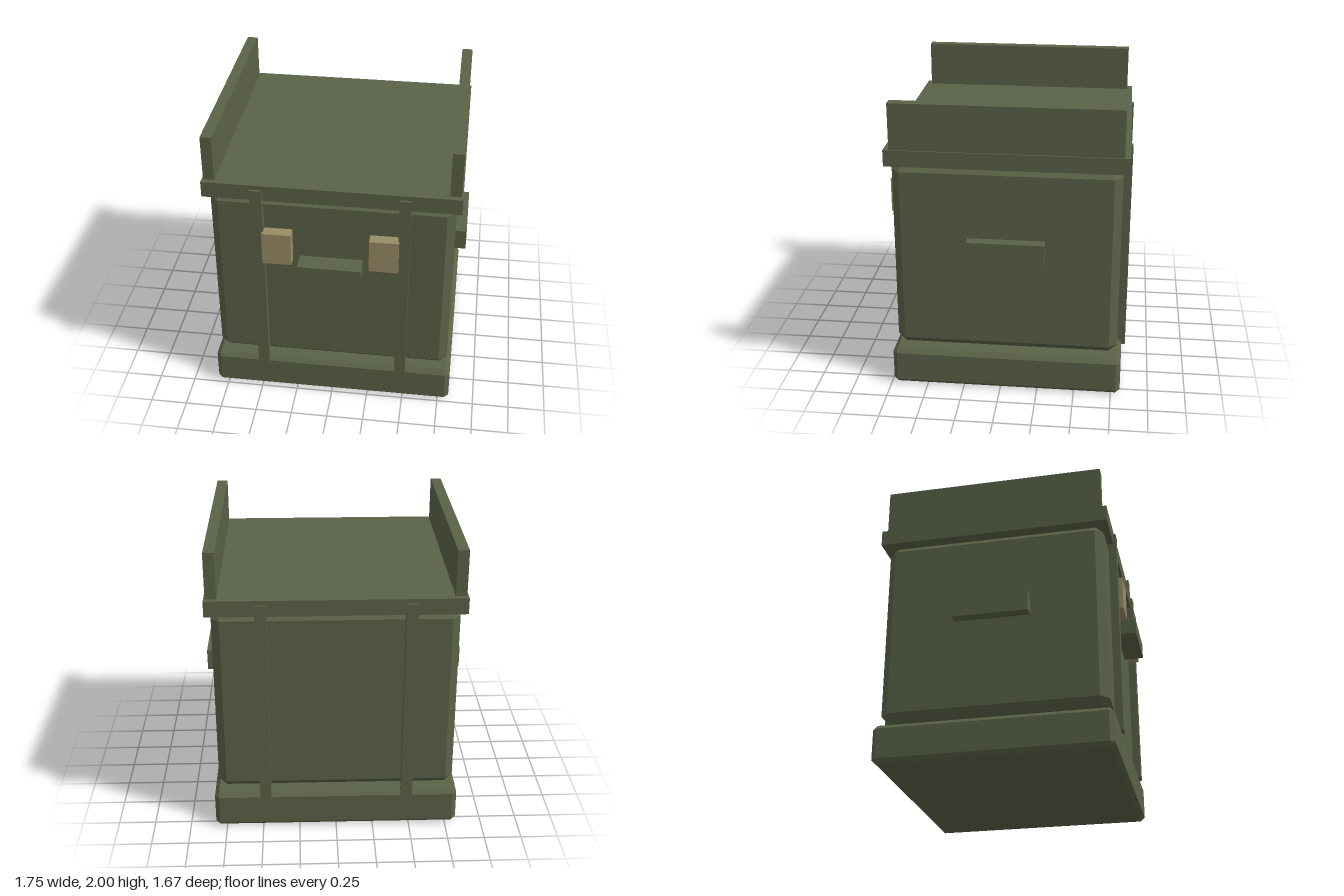
import * as THREE from 'three';
import { ConvexGeometry } from 'three/addons/geometries/ConvexGeometry.js';

// Box with every edge cut by c, centred on the origin
function chamferBox(w, h, d, c) {
  const points = [];
  for (const sx of [-1, 1]) for (const sy of [-1, 1]) for (const sz of [-1, 1]) {
    const x = sx * w / 2, y = sy * h / 2, z = sz * d / 2;
    points.push(
      new THREE.Vector3(x, y - sy * c, z - sz * c),
      new THREE.Vector3(x - sx * c, y, z - sz * c),
      new THREE.Vector3(x - sx * c, y - sy * c, z));
  }
  return new ConvexGeometry(points);
}

export function createModel() {
  const group = new THREE.Group();
  const olive = new THREE.MeshStandardMaterial({ color: 0x5a6247 });
  olive.name = 'olive';
  const tan = new THREE.MeshStandardMaterial({ color: 0x988b65 });
  tan.name = 'tan';

  function add(name, geometry, material, x, y, z) {
    const mesh = new THREE.Mesh(geometry, material);
    mesh.name = name;
    mesh.position.set(x, y, z);
    group.add(mesh);
  }

  // Box given by its limits on each axis; c cuts the edges
  function block(name, material, [x0, x1], [y0, y1], [z0, z1], c = 0) {
    const w = x1 - x0, h = y1 - y0, d = z1 - z0;
    const geometry = c ? chamferBox(w, h, d, c) : new THREE.BoxGeometry(w, h, d);
    add(name, geometry, material, (x0 + x1) / 2, (y0 + y1) / 2, (z0 + z1) / 2);
  }

  // Main stack
  block('base', olive, [-0.827, 0.827], [0, 0.26], [-0.812, 0.737], 0.03);
  block('body', olive, [-0.797, 0.797], [0.29, 1.59], [-0.782, 0.705], 0.054);
  block('lid', olive, [-0.833, 0.833], [1.585, 1.693], [-0.823, 0.74]);
  block('frontHandle', olive, [-0.21, 0.208], [1.042, 1.15], [0.69, 0.837]);

  // Mirrored parts
  for (const s of [-1, 1]) {
    const span = (a, b) => (s > 0 ? [a, b] : [-b, -a]);
    block('topRail', olive, span(0.75, 0.823), [1.69, 2], [-0.785, 0.703]);
    block('sideHandle', olive, span(0.78, 0.873), [0.953, 1.097], [-0.295, 0.213]);
    block('frontStrap', olive, span(0.44, 0.515), [0.217, 1.663], [0.703, 0.757]);
    block('backStrap', olive, span(0.44, 0.515), [0.217, 1.663], [-0.837, -0.78]);
    block('latch', tan, span(0.255, 0.447), [1.123, 1.355], [0.69, 0.783]);

    // Spacer feet between base and body
    for (const z of [0.535, -0.613]) {
      const foot = new THREE.CylinderGeometry(0.063, 0.063, 0.07, 8).toNonIndexed();
      foot.computeVertexNormals();
      add('spacerFoot', foot, tan, s * 0.638, 0.275, z);
    }
  }
  return group;
}
